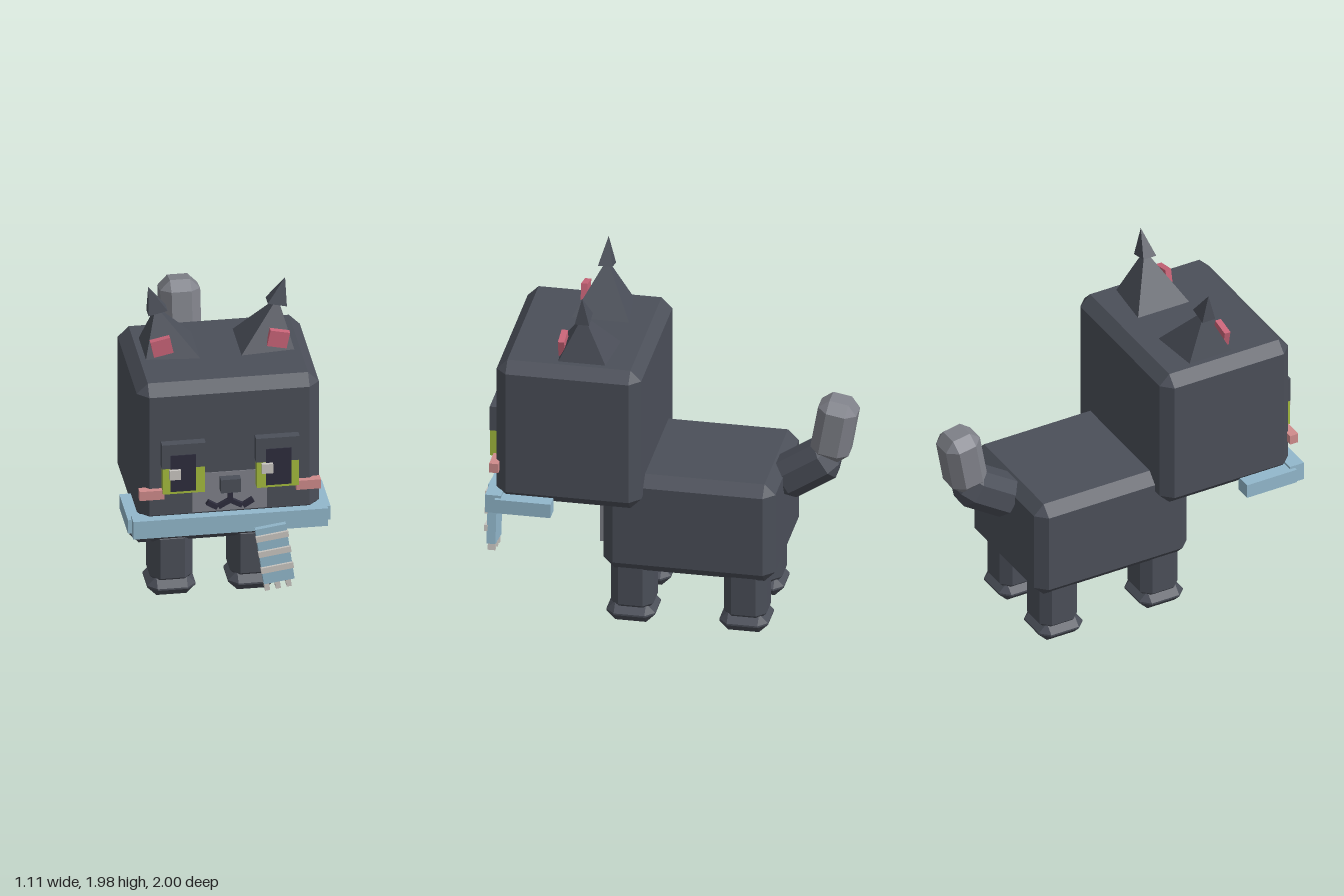
import * as THREE from 'three';
import { ConvexGeometry } from 'three/addons/geometries/ConvexGeometry.js';

const mat = (name, color) => {
  const m = new THREE.MeshStandardMaterial({ color });
  m.name = name;
  return m;
};
const SIDES = [-1, 1];
const v = (x, y, z) => new THREE.Vector3(x, y, z);

// Box with every edge bevelled by c
function chamferBox(w, h, d, c) {
  const pts = [];
  const [a, b, e] = [w / 2, h / 2, d / 2];
  for (const x of SIDES) for (const y of SIDES) for (const z of SIDES) {
    pts.push(v(x * a, y * (b - c), z * (e - c)));
    pts.push(v(x * (a - c), y * b, z * (e - c)));
    pts.push(v(x * (a - c), y * (b - c), z * e));
  }
  return new ConvexGeometry(pts);
}

export function createModel() {
  const fur = mat('charcoal fur', 0x4b4f59);
  const pale = mat('pale grey fur', 0x80828a);
  const ink = mat('dark ink', 0x2e2d3d);
  const green = mat('eye green', 0xa5bd3e);
  const white = mat('off white', 0xcac7c2);
  const rose = mat('ear rose', 0xc96478);
  const blush = mat('cheek blush', 0xd08c8c);
  const blue = mat('scarf blue', 0x92b8cc);

  const cat = new THREE.Group();
  cat.name = 'cat';

  const add = (name, geometry, material, pos = [0, 0, 0], parent = cat) => {
    const m = new THREE.Mesh(geometry, material);
    m.name = name;
    m.position.set(...pos);
    parent.add(m);
    return m;
  };
  // Plain box given by its limits on each axis
  const box = (name, material, [x0, x1], [y0, y1], [z0, z1], parent) =>
    add(name, new THREE.BoxGeometry(x1 - x0, y1 - y0, z1 - z0), material,
      [(x0 + x1) / 2, (y0 + y1) / 2, (z0 + z1) / 2], parent);

  // Head, body and chest
  add('head', chamferBox(1, 0.84, 0.8, 0.06), fur, [0, 1.18, 0.51]);
  add('body', chamferBox(0.78, 0.59, 0.95, 0.06), fur, [0, 0.625, -0.135]);
  box('chest', pale, [-0.18, 0.2], [0.415, 0.78], [0.3, 0.385]);

  // Legs and feet
  for (const x of SIDES) for (const z of [0.19, -0.435]) {
    add('leg', chamferBox(0.235, 0.34, 0.235, 0.05), fur, [x * 0.22, 0.23, z]);
    add('foot', chamferBox(0.265, 0.11, 0.27, 0.05), fur, [x * 0.222, 0.055, z + 0.005]);
  }

  // Tail in two bent segments
  add('tailBase', chamferBox(0.235, 0.38, 0.225, 0.06), fur, [0, 0.88, -0.72])
    .rotation.x = -THREE.MathUtils.degToRad(57);
  add('tailTip', chamferBox(0.22, 0.36, 0.215, 0.055), pale, [0, 1.135, -0.876])
    .rotation.x = -THREE.MathUtils.degToRad(10);

  for (const s of SIDES) {
    // Ears: leaning pyramid, small barbed tip and rose inner pad
    add('ear', new ConvexGeometry([
      v(s * 0.105, 1.59, 0.28), v(s * 0.105, 1.59, 0.61),
      v(s * 0.41, 1.59, 0.31), v(s * 0.41, 1.59, 0.58), v(s * 0.335, 1.86, 0.45)]), fur);
    add('earTip', new ConvexGeometry([
      v(s * 0.275, 1.845, 0.41), v(s * 0.275, 1.845, 0.49),
      v(s * 0.38, 1.82, 0.41), v(s * 0.38, 1.82, 0.49), v(s * 0.376, 1.98, 0.45)]), fur);
    add('innerEar', new THREE.BoxGeometry(0.11, 0.095, 0.035), rose, [s * 0.32, 1.67, 0.565])
      .rotation.z = -s * 0.21;

    // Eyes
    const eye = new THREE.Group();
    eye.name = 'eye';
    cat.add(eye);
    const cx = s * 0.258;
    box('eyelid', fur, [cx - 0.12, cx + 0.12], [1.125, 1.27], [0.89, 0.96], eye);
    box('iris', green, [cx - 0.115, cx + 0.115], [0.97, 1.125], [0.89, 0.96], eye);
    box('pupil', ink, [s * 0.263 - 0.07, s * 0.263 + 0.07], [0.985, 1.205], [0.957, 0.965], eye);
    const hx = s > 0 ? 0.198 : -0.308;
    box('eyeGlint', white, [hx - 0.031, hx + 0.031], [1.065, 1.122], [0.958, 0.982], eye);

    // Cheeks
    box('cheek', blush, [s * 0.43 - 0.068, s * 0.43 + 0.068], [0.93, 0.985], [0.89, 0.94]);

    // Mouth strokes
    add('mouthInner', new THREE.BoxGeometry(0.075, 0.026, 0.04), ink, [s * 0.032, 0.876, 0.92])
      .rotation.z = -s * 0.5;
    add('mouthOuter', new THREE.BoxGeometry(0.065, 0.028, 0.04), ink, [s * 0.098, 0.872, 0.92])
      .rotation.z = s * 0.55;

    // Scarf sides
    box('scarfSide', blue, [s * 0.508 - 0.048, s * 0.508 + 0.048], [0.715, 0.797], [0.59, 0.9]);
  }

  // Muzzle, nose and mouth stem
  box('muzzle', pale, [-0.205, 0.205], [0.825, 1.06], [0.907, 0.915]);
  box('nose', fur, [-0.055, 0.055], [0.955, 1.035], [0.9, 0.965]);
  box('mouthStem', ink, [-0.013, 0.013], [0.88, 0.957], [0.9, 0.941]);

  // Scarf front and hanging end with stripes and fringe
  box('scarfFront', blue, [-0.535, 0.535], [0.705, 0.812], [0.868, 0.955]);
  const end = new THREE.Group();
  end.name = 'scarfEnd';
  end.position.set(0.238, 0.57, 0.96);
  end.rotation.z = 0.14;
  cat.add(end);
  add('scarfEndCloth', new THREE.BoxGeometry(0.17, 0.34, 0.05), blue, [0, 0, 0], end);
  for (const y of [0.115, 0.02, -0.08])
    add('scarfStripe', new THREE.BoxGeometry(0.18, 0.034, 0.02), white, [0, y, 0.03], end);
  for (const x of [-0.06, 0, 0.06])
    add('fringe', new THREE.BoxGeometry(0.028, 0.05, 0.042), white, [x - 0.01, -0.188, 0], end);

  return cat;
}
